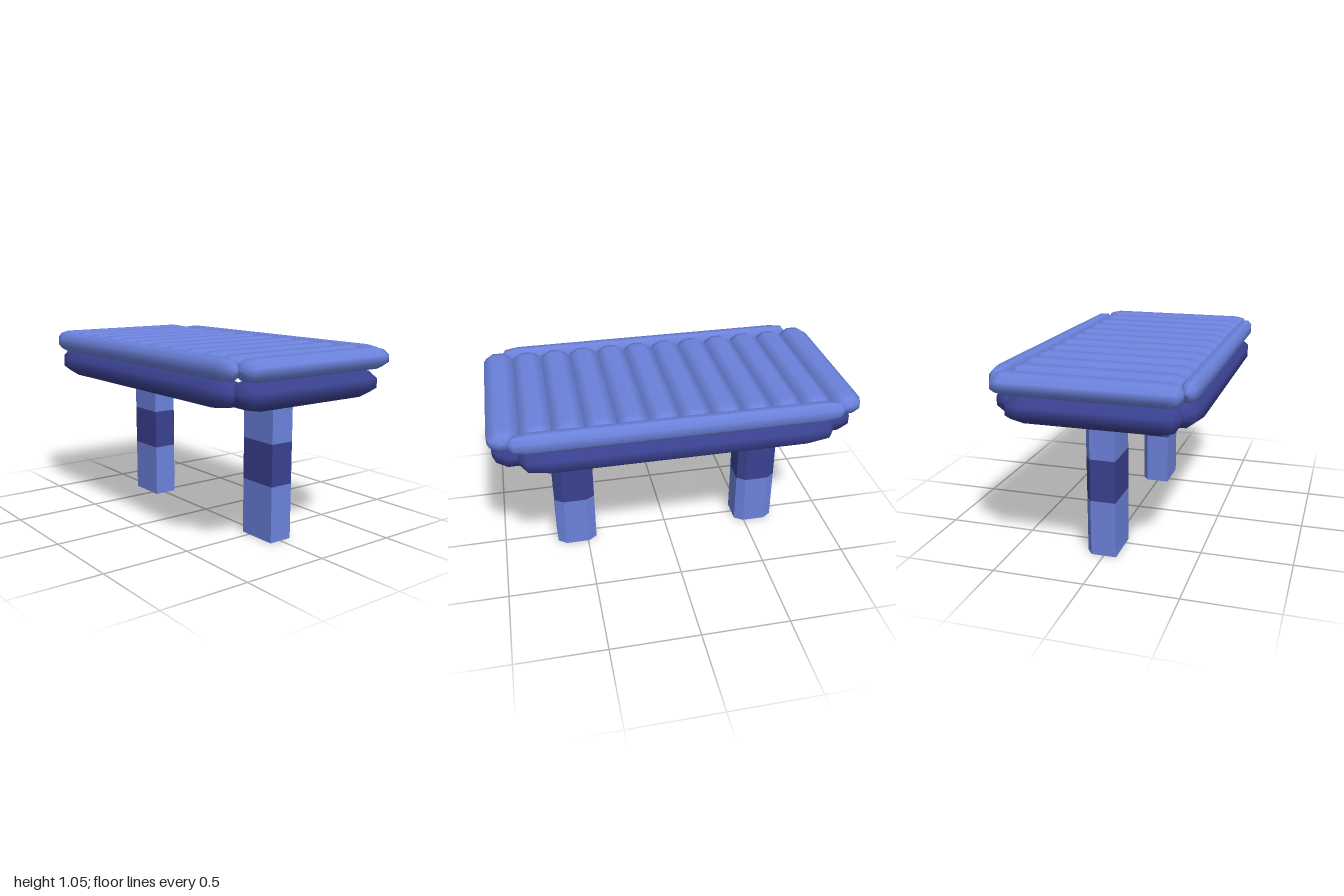
import * as THREE from 'three';

const light = new THREE.MeshStandardMaterial({ color: 0x6c82dc });
const dark = new THREE.MeshStandardMaterial({ color: 0x3a4190 });

// Eight-sided log lying along z, with blunt, slightly pointed ends
function log(name, width, height, length, material, tip = 0.03) {
  const h = length / 2;
  const R = 1 / Math.cos(Math.PI / 8);
  const profile = [
    [0, -h], [0.35, -h + tip * 0.2], [0.88, -h + tip], [R, -h + tip * 3.5],
    [R, h - tip * 3.5], [0.88, h - tip], [0.35, h - tip * 0.2], [0, h],
  ].map(([r, y]) => new THREE.Vector2(r, y));
  const geometry = new THREE.LatheGeometry(profile, 8, Math.PI / 8);
  geometry.rotateX(Math.PI / 2);
  geometry.scale(width / 2, height / 2, 1);
  const mesh = new THREE.Mesh(geometry, material);
  mesh.name = name;
  return mesh;
}

// Upright leg section: square front corners, bevelled back corners
function legSection(name, y0, y1, material) {
  const w = 0.118;
  const shape = new THREE.Shape([
    [-w, -0.07], [w, -0.07], [w, 0.07], [w - 0.05, 0.105], [-w + 0.05, 0.105], [-w, 0.07],
  ].map(([x, y]) => new THREE.Vector2(x, y)));
  const geometry = new THREE.ExtrudeGeometry(shape, { depth: y1 - y0, bevelEnabled: false });
  geometry.rotateX(-Math.PI / 2);
  geometry.translate(0, y0, 0);
  const mesh = new THREE.Mesh(geometry, material);
  mesh.name = name;
  return mesh;
}

export function createModel() {
  const model = new THREE.Group();
  model.name = 'logTable';

  // Table top: a row of logs, the two outer ones slightly longer
  const count = 12;
  const pitch = 0.1668;
  for (let i = 0; i < count; i++) {
    const outer = i === 0 || i === count - 1;
    const plank = log(outer ? 'endPlank' : 'plank', 0.166, 0.11, outer ? 0.97 : 0.93, light, 0.02);
    plank.position.set((i - (count - 1) / 2) * pitch, 1, 0);
    model.add(plank);
  }

  for (const side of [-1, 1]) {
    // Thin rails covering the plank ends
    const rail = log('topRail', 0.09, 0.11, 1.79, light, 0.03);
    rail.rotation.y = Math.PI / 2;
    rail.position.set(0.005, 1, side * 0.492);
    model.add(rail);

    // Heavy frame under the top
    const longBeam = log('longBeam', 0.19, 0.145, 1.71, dark, 0.045);
    longBeam.rotation.y = Math.PI / 2;
    longBeam.position.set(0, 0.872, side * 0.442);
    model.add(longBeam);

    const endBeam = log('endBeam', 0.24, 0.145, 0.9, dark, 0.03);
    endBeam.position.set(side * 0.868, 0.872, 0.02);
    model.add(endBeam);

    // Banded leg
    const leg = new THREE.Group();
    leg.name = 'leg';
    leg.add(
      legSection('lowerLeg', 0, 0.315, light),
      legSection('legBand', 0.315, 0.55, dark),
      legSection('upperLeg', 0.55, 0.96, light),
    );
    leg.position.x = side * 0.563;
    model.add(leg);
  }

  return model;
}
